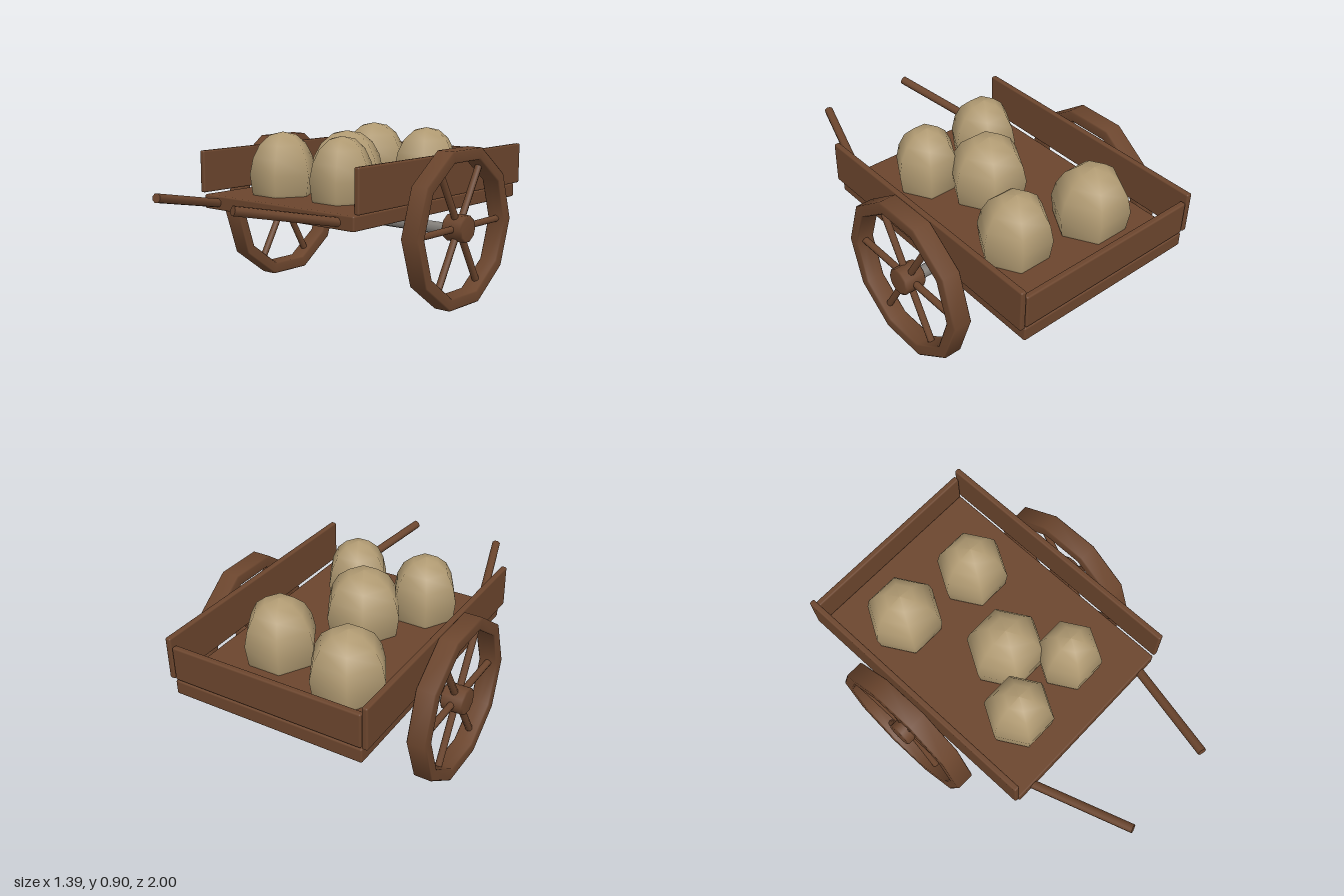
import * as THREE from 'three';
import { RoundedBoxGeometry } from 'three/addons/geometries/RoundedBoxGeometry.js';

const mat = (name, color) => new THREE.MeshStandardMaterial({ name, color });
const pts = (list) => list.map(([r, y]) => new THREE.Vector2(r, y));

export function createModel() {
  const wood = mat('wood', 0x6b452d);
  const iron = mat('iron', 0x85817c);
  const burlap = mat('burlap', 0xb09a72);
  const cart = new THREE.Group();
  cart.name = 'handCart';

  const add = (parent, name, geometry, material, x = 0, y = 0, z = 0) => {
    const mesh = new THREE.Mesh(geometry, material);
    mesh.name = name;
    mesh.position.set(x, y, z);
    parent.add(mesh);
    return mesh;
  };

  // Softly bevelled plank given by its limits on each axis
  const plank = (name, x0, x1, y0, y1, z0, z1) =>
    add(cart, name, new RoundedBoxGeometry(x1 - x0, y1 - y0, z1 - z0, 2, 0.009), wood,
      (x0 + x1) / 2, (y0 + y1) / 2, (z0 + z1) / 2);

  // Round rod between two points
  const rod = (parent, name, a, b, radius, material, sides = 8) => {
    const dir = b.clone().sub(a);
    const mesh = add(parent, name, new THREE.CylinderGeometry(radius, radius, dir.length(), sides), material);
    mesh.position.copy(a).add(b).multiplyScalar(0.5);
    mesh.quaternion.setFromUnitVectors(new THREE.Vector3(0, 1, 0), dir.normalize());
    return mesh;
  };

  // Bed and boards, open at the front
  plank('bed', -0.524, 0.524, 0.489, 0.566, -0.997, 0.463);
  plank('backBoard', -0.52, 0.52, 0.573, 0.756, -1, -0.968);
  plank('leftBoard', 0.524, 0.555, 0.573, 0.8, -1, 0.465);
  plank('rightBoard', -0.555, -0.524, 0.573, 0.8, -1, 0.465);

  // Axle
  rod(cart, 'axle', new THREE.Vector3(-0.59, 0.405, -0.26), new THREE.Vector3(0.59, 0.405, -0.26), 0.033, iron);

  // Ten-sided rim with a rectangular section, and a hub, both turned around x
  const rimGeometry = new THREE.LatheGeometry(pts([
    [0.37, 0], [0.37, -0.045], [0.378, -0.052], [0.427, -0.052], [0.435, -0.046],
    [0.435, 0.046], [0.427, 0.052], [0.378, 0.052], [0.37, 0.045], [0.37, 0],
  ]), 10).rotateZ(Math.PI / 2);
  const hubGeometry = new THREE.LatheGeometry(pts([
    [0, -0.062], [0.064, -0.062], [0.073, -0.055], [0.073, 0.055], [0.064, 0.062], [0, 0.062],
  ]), 10).rotateZ(Math.PI / 2);

  for (const side of [1, -1]) {
    const label = side > 0 ? 'left' : 'right';
    const wheel = new THREE.Group();
    wheel.name = label + 'Wheel';
    wheel.position.set(side * 0.632, 0.42, -0.26);
    cart.add(wheel);
    add(wheel, 'rim', rimGeometry, wood);
    add(wheel, 'hub', hubGeometry, wood);
    for (let i = 0; i < 6; i++) {
      const a = (i * Math.PI) / 3;
      const dir = new THREE.Vector3(0, Math.sin(a), Math.cos(a));
      rod(wheel, 'spoke', dir.clone().multiplyScalar(0.05), dir.clone().multiplyScalar(0.385), 0.019, wood);
    }

    // Pull handle leaning inward and up
    rod(cart, label + 'Handle', new THREE.Vector3(side * 0.423, 0.525, 0.45),
      new THREE.Vector3(side * 0.268, 0.634, 0.992), 0.024, wood);
  }

  // Six-sided sacks: x, z, radius
  const sacks = [
    [-0.235, -0.638, 0.205],
    [0.203, -0.563, 0.195],
    [-0.007, -0.115, 0.212],
    [-0.215, 0.172, 0.185],
    [0.187, 0.152, 0.178],
  ];
  for (const [x, z, r] of sacks) {
    const profile = pts([
      [0, 0.53], [0.84 * r, 0.53], [0.93 * r, 0.58], [r, 0.68],
      [0.9 * r, 0.765], [0.7 * r, 0.837], [0.4 * r, 0.885], [0, 0.902],
    ]);
    add(cart, 'sack', new THREE.LatheGeometry(profile, 6, Math.PI / 2), burlap, x, 0, z);
  }

  return cart;
}
